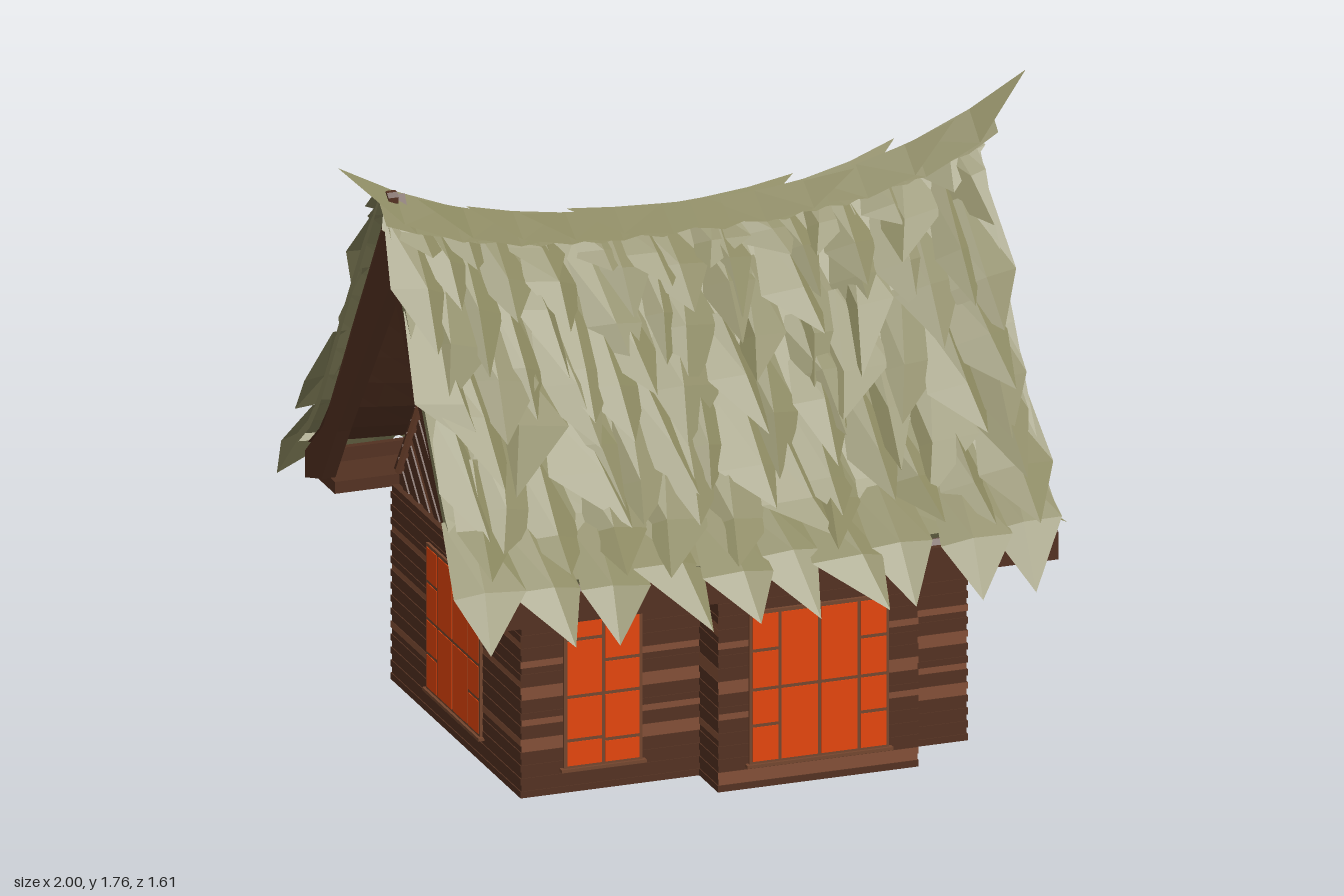
import * as THREE from 'three';

const mat = (name, color, side = THREE.FrontSide) => {
  const m = new THREE.MeshStandardMaterial({ color, side, flatShading: true });
  m.name = name;
  return m;
};
let seed = 7;
const rnd = () => (seed = (seed * 16807) % 2147483647) / 2147483647;
const jit = (r) => (rnd() * 2 - 1) * r;

export function createModel() {
  const model = new THREE.Group();
  const M = {
    thatch: mat('thatch', 0x88855d, THREE.DoubleSide),
    dark: mat('darkWood', 0x533121),
    under: mat('roofUnderside', 0x533121, THREE.DoubleSide),
    light: mat('lightWood', 0x834f36),
    frame: mat('frameWood', 0x74462e),
    glow: mat('glowingGlass', 0xe5450a),
  };
  const add = (name, geo, material, parent = model) => {
    const m = new THREE.Mesh(geo, material);
    m.name = name;
    parent.add(m);
    return m;
  };
  const box = (name, x0, x1, y0, y1, z0, z1, material, parent) =>
    add(name, new THREE.BoxGeometry(x1 - x0, y1 - y0, z1 - z0), material, parent)
      .position.set((x0 + x1) / 2, (y0 + y1) / 2, (z0 + z1) / 2);
  const soup = (name, pts, material) => {
    const g = new THREE.BufferGeometry().setFromPoints(pts);
    g.computeVertexNormals();
    return add(name, g, material);
  };
  // grid of quads over f(i, j), i and j in 0..1
  const grid = (out, f, ni, nj) => {
    for (let i = 0; i < ni; i++) for (let j = 0; j < nj; j++) {
      const [a, b, c, d] = [[0, 0], [1, 0], [1, 1], [0, 1]].map(([p, q]) => f((i + p) / ni, (j + q) / nj));
      out.push(a, b, c, a, c, d);
    }
  };
  // flat polygon in the (z, y) plane, extruded along x
  const slab = (name, pts, x0, x1, material) => {
    const g = new THREE.ExtrudeGeometry(new THREE.Shape(pts.map(([z, y]) => new THREE.Vector2(-z, y))),
      { depth: x1 - x0, bevelEnabled: false });
    g.rotateY(Math.PI / 2).translate(x0, 0, 0);
    return add(name, g, material);
  };

  // Walls: thin stacked courses; paler ones differ between the long walls and the ends
  const courses = (name, x0, x1, z0, z1, paleZ, paleX) => {
    const n = 30, h = 0.019;
    for (let i = 0; i < n; i++) {
      const d = i % 2 ? 0.003 : 0;
      const mx = paleX.includes(i) ? M.light : M.dark, mz = paleZ.includes(i) ? M.light : M.dark;
      box(name, x0 + d, x1 - d, i * h, (i + 1) * h, z0 + d, z1 - d, [mx, mx, M.dark, M.dark, mz, mz]);
    }
  };
  courses('mainWallCourse', -0.665, 0.65, -0.508, 0.508, [7, 8, 11, 15, 16, 20, 28], [8, 17, 23]);
  for (const s of [-1, 1])
    courses('bayWallCourse', -0.14, 0.45, s > 0 ? 0.49 : -0.655, s > 0 ? 0.655 : -0.49,
      [1, 2, 11, 15, 16, 22], [8, 17, 18, 24, 25]);

  // Windows: frame plate plus panes; cols = [width fraction, [split heights]]
  const glazing = (name, w, h, cols, pos, ry, sill = true) => {
    const g = new THREE.Group();
    g.name = name;
    box('frame', -w / 2, w / 2, 0, h, -0.004, 0.006, M.frame, g);
    let x = -w / 2 + 0.004;
    for (const [fw, splits] of cols) {
      const cw = fw * (w - 0.008), ys = [0, ...splits, 1];
      for (let i = 0; i + 1 < ys.length; i++)
        box('pane', x + 0.005, x + cw - 0.005, ys[i] * (h - 0.01) + 0.01, ys[i + 1] * (h - 0.01),
          0.002, 0.008, M.glow, g);
      x += cw;
    }
    if (sill) box('sill', -w / 2 - 0.01, w / 2 + 0.01, -0.006, 0.003, -0.004, 0.014, M.frame, g);
    g.position.set(...pos);
    g.rotation.y = ry;
    model.add(g);
    return g;
  };
  const small = [[0.5, [0.18, 0.47, 0.85]], [0.5, [0.16, 0.47, 0.69]]];
  const wide = [[0.21, [0.25, 0.49, 0.75]], [0.29, [0.49]], [0.29, [0.49]], [0.21, [0.25, 0.49, 0.75]]];
  for (const s of [1, -1]) {
    const ry = s > 0 ? 0 : Math.PI;
    glazing('smallWindow', 0.23, 0.45, s > 0 ? small : [...small].reverse(), [-0.425, 0.07, s * 0.51], ry);
    glazing('bayWindow', 0.41, 0.45, wide, [0.155, 0.07, s * 0.657], ry);
  }
  glazing('endWindow', 0.42, 0.43, wide, [-0.667, 0.075, 0], -Math.PI / 2);
  const doorOuter = [0.25, [0.15, 0.44, 0.73, 0.89]], doorInner = [0.25, [0.22, 0.57, 0.73]];
  const door = glazing('doubleDoor', 0.54, 0.58, [doorOuter, doorInner, doorInner, doorOuter],
    [0.652, 0, 0], Math.PI / 2, false);
  box('doorPost', -0.014, 0.014, 0, 0.575, 0, 0.009, M.dark, door);
  for (const s of [-1, 1]) box('doorHandle', s * 0.014 - 0.003, s * 0.014 + 0.003, 0.26, 0.33, 0, 0.016, M.frame, door);

  // Attic core, soffits and eave beams along the long sides
  slab('atticCore', [[-0.57, 0.57], [0.57, 0.57], [0, 1.4]], -0.64, 0.625, M.dark);
  for (const s of [-1, 1]) {
    box('soffit', -0.83, 0.85, 0.565, 0.6, s * 0.58 - 0.075, s * 0.58 + 0.075, M.dark);
    box('eaveBeam', -0.83, 0.85, 0.56, 0.64, s * 0.66 - 0.01, s * 0.66 + 0.01, M.dark);
    box('awningBracket', 0.6, 0.875, 0.605, 0.665, s * 0.495 - 0.012, s * 0.495 + 0.012, M.light);
  }

  // Gable ends: V-laid boards, round window, rake boards, ridge pole end
  for (const s of [-1, 1]) {
    const span = (d0, d1) => (s > 0 ? [d0, d1] : [-d1, -d0]);
    for (let k = 0; k < 31; k++) {
      const c = 0.11 + k * 0.04, e = c + 0.04;
      const side = (v) => (1.4 - v) / 2.5;
      const lo = (v) => Math.max(0, 0.57 - v);
      const pts = [[lo(c), c + lo(c)], [side(c), c + side(c)], [side(e), e + side(e)], [lo(e), e + lo(e)]];
      for (const q of [-1, 1])
        slab('gableBoard', pts.map(([z, y]) => [q * z, y]), ...span(0.615, k % 2 ? 0.641 : 0.646),
          [5, 11, 19, 20].includes(k) ? M.light : M.dark);
    }
    for (const q of [-1, 1]) {
      slab('gableTrim', [[0, 1.375], [q * 0.5, 0.61], [q * 0.475, 0.61], [0, 1.34]], ...span(0.635, 0.655), M.light);
      slab('rakeBoard', [[0, 1.62], [q * 0.53, 0.76], [q * 0.67, 0.64], [q * 0.67, 0.56], [q * 0.54, 0.6],
        [q * 0.42, 0.78], [0, 1.36]], ...span(0.815, 0.855), M.dark);
    }
    const disc = (name, r, d, m, n) => {
      const g = new THREE.CylinderGeometry(r, r, d, n).rotateY(Math.PI / 8).rotateZ(Math.PI / 2);
      return add(name, g, m);
    };
    disc('roundWindowFrame', 0.088, 0.04, M.light, 8).position.set(s * 0.642, 1, 0);
    disc('roundWindowGlass', 0.068, 0.008, M.glow, 12).position.set(s * 0.664, 1, 0);
    disc('ridgePole', 0.022, 0.03, M.dark, 8).position.set(s * 0.855, 1.61, 0);
  }

  // Thatch surface helper: offset a surface point along its upward normal
  const offset = (S) => (u, a, off) => {
    const e = 0.004, a0 = Math.min(a, 1 - e);
    const p = S(u, a), o = S(u, a0);
    const n = S(u + e, a0).sub(o).cross(S(u, a0 + e).sub(o)).normalize();
    return p.addScaledVector(n, (n.y < 0 ? -off : off) * Math.min(1, 0.3 + 5 * a));
  };
  // One folded, pointed thatch bundle on surface P; k scales its lift
  const leaf = (out, P, u, a0, a1, w, k = 1) => {
    const skew = jit(w * 0.5), tw = jit(0.02) * k, am = a0 + (a1 - a0) * (0.55 + jit(0.1));
    const rL = P(u - w * 0.4, a0, 0.015), rR = P(u + w * 0.4, a0, 0.015), rC = P(u, a0, 0.03);
    const mL = P(u - w * 0.55, am, 0.024 + tw), mR = P(u + w * 0.55, am, 0.024 - tw);
    const mC = P(u + skew * 0.5, am, 0.055 * k), tip = P(u + skew, a1, (0.04 + rnd() * 0.03) * k);
    out.push(rL, mL, mC, rL, mC, rC, rC, mC, mR, rC, mR, rR, mL, tip, mC, mC, tip, mR);
  };

  // Main roof slopes: drooping eaves, ridge sagging toward the middle
  const profile = new THREE.CatmullRomCurve3(
    [[0, 1.62], [0.27, 1.185], [0.53, 0.775], [0.66, 0.665], [0.73, 0.6], [0.765, 0.505]]
      .map(([z, y]) => new THREE.Vector3(0, y, z)));
  for (const s of [1, -1]) {
    const P = offset((u, a) => {
      const p = profile.getPointAt(Math.min(1, Math.max(0, a)));
      const sag = 0.165 * (1 - Math.min(1, Math.abs(u / 0.88) ** 2.4)) * Math.max(0, 1 - a);
      return new THREE.Vector3(u, p.y - sag, s * p.z);
    });
    const X0 = -0.885, X1 = 0.86, x = (i) => X0 + (X1 - X0) * i, A1 = 0.84;
    const under = [], out = [];
    grid(under, (i, j) => P(x(i) * 0.97, j * A1, -0.004), 12, 10);
    soup('roofUnderside', under, M.under);
    grid(out, (i, j) => P(x(i), j * A1, 0.022), 12, 10);
    for (const e of [X0, X1]) grid(out, (i, j) => P(e, j * A1, 0.022 * i), 1, 10);
    grid(out, (i, j) => P(x(i), A1, 0.022 * j), 12, 1);
    for (let r = 0; r < 9; r++) for (let k = 0; k < 10; k++) {
      const u = -0.805 + k * 0.176 + (r % 2 ? 0.04 : -0.02) + jit(0.03);
      const tip = (r ? 0.98 - r * 0.1 : 1) - rnd() * (r ? 0.06 : 0.02);
      leaf(out, P, Math.min(0.78, Math.max(-0.82, u)), Math.max(0, tip - 0.3), tip,
        r ? 0.165 + jit(0.04) : 0.19, r ? 1 : 0.7);
    }
    soup('roofThatch', out, M.thatch);
  }

  // Ridge cap: overlapping pointed saddles running out to both raised ends
  const cap = [];
  const ridgeY = (x) => 1.487 + (x > 0 ? 0.255 : 0.205) * Math.abs(x) ** 2.7;
  const saddle = (x, q, hw, lift, z) =>
    new THREE.Vector3(x, ridgeY(x) + lift - Math.abs(q) * hw * (0.55 + 0.4 * x * x), q * hw + z);
  grid(cap, (i, j) => saddle(-0.9 + 1.8 * i, j * 2 - 1, 0.085 + 0.012 * Math.sin(i * 60), -0.004, 0), 20, 2);
  for (const s of [-1, 1]) for (let k = 0; k < 5; k++) {
    const x0 = k * 0.15 - 0.08, len = k === 4 ? 0.48 : 0.42, w = [0.07, 0.1, 0.085, 0], zTip = k === 4 ? 0.03 * s : jit(0.05);
    grid(cap, (i, j) => saddle(s * (x0 + len * i), j * 2 - 1, w[Math.round(i * 3)], 0.015 * i, zTip * i * i), 3, 2);
  }
  soup('ridgeCap', cap, M.thatch);

  // Awning over the door
  const A = offset((u, a) => new THREE.Vector3(0.64 + 0.32 * a,
    0.775 - 0.1 * a - 0.16 * a * a - 0.3 * u * u * (1 - 0.7 * a), u * (0.85 + 0.2 * a)));
  const awnUnder = [], awn = [];
  grid(awnUnder, (i, j) => A(-0.47 + 0.94 * i, j * 0.76, -0.006), 6, 4);
  soup('awningUnderside', awnUnder, M.under);
  grid(awn, (i, j) => A(-0.48 + 0.96 * i, j * 0.78, 0.014), 8, 4);
  for (const e of [-0.48, 0.48]) grid(awn, (i, j) => A(e, j * 0.78, 0.014 * i), 1, 4);
  for (let r = 0; r < 4; r++) for (let k = 0; k < 10; k++) {
    const tip = 1 - r * 0.16 - rnd() * 0.13;
    leaf(awn, A, -0.45 + k * 0.1 + jit(0.02), Math.max(0, tip - 0.6), tip, 0.11 + jit(0.02), 0.9);
  }
  soup('awningThatch', awn, M.thatch);
  return model;
}
